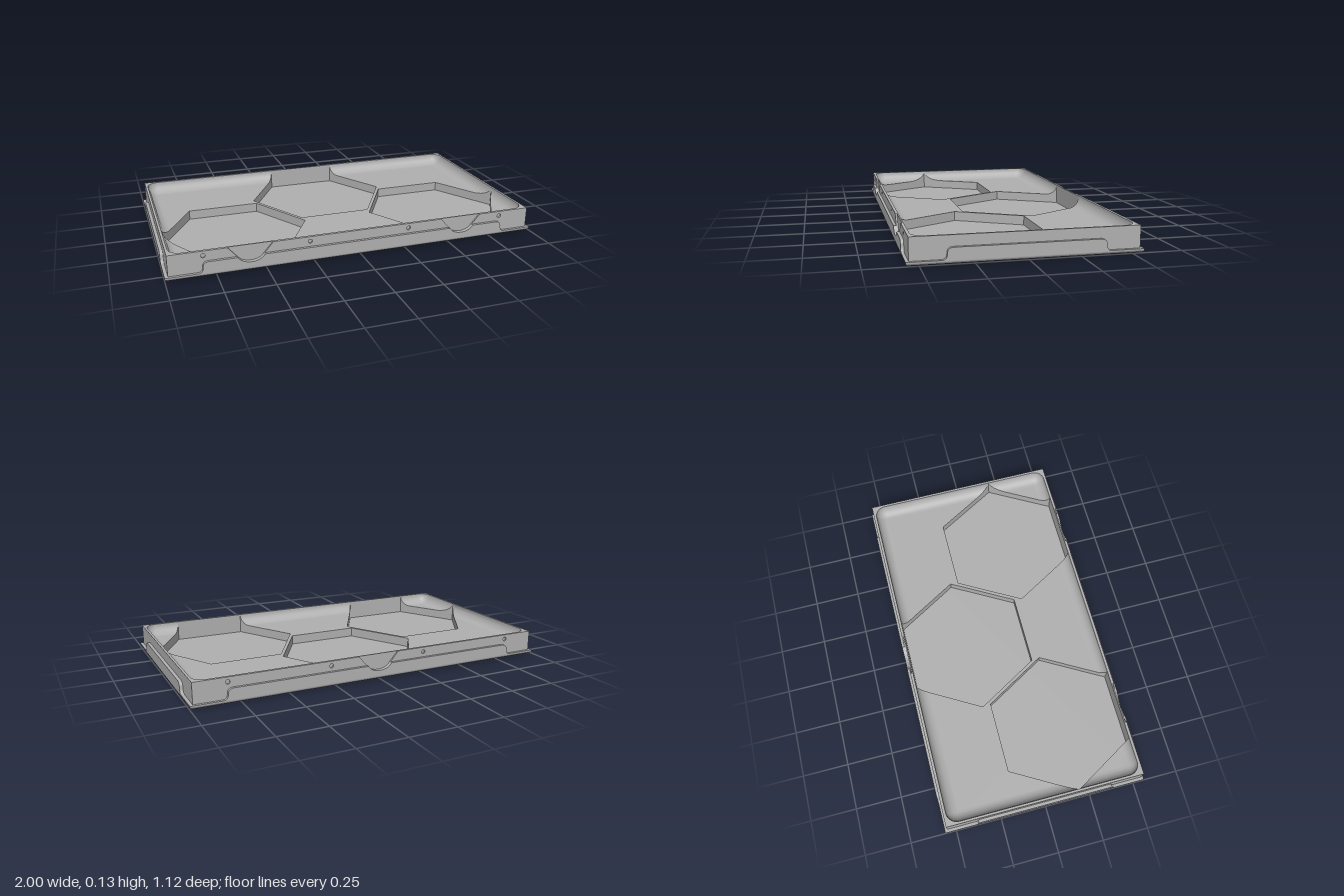
import * as THREE from 'three';
import { toCreasedNormals } from 'three/addons/utils/BufferGeometryUtils.js';

const grey = new THREE.MeshStandardMaterial({ color: 0xb0b0b0, side: THREE.DoubleSide });
grey.name = 'grey plastic';

const W = 0.983, D = 0.545;           // outer wall half sizes
const IX = 0.97, IZ = 0.53;           // inner cavity half sizes
const H = 0.13, LIP = 0.02, BAND = 0.077, FLOOR = 0.07, R = 0.06;
const RECESS = 0.537;                 // depth reached by the finger recesses

function add(parent, name, geo) {
  const mesh = new THREE.Mesh(toCreasedNormals(geo, 0.6), grey);
  mesh.name = name;
  parent.add(mesh);
  return mesh;
}

const extrude = (shape, depth) =>
  new THREE.ExtrudeGeometry(shape, { depth, bevelEnabled: false, curveSegments: 12 });

// horizontal slab from a plan outline of [x, z] points
function slab(shape, y0, y1) {
  return extrude(shape, y1 - y0).rotateX(-Math.PI / 2).translate(0, y0, 0);
}
const plan = pts => new THREE.Shape(pts.map(([x, z]) => new THREE.Vector2(x, -z)));

// finger recess traced left to right along a top edge at height y
function recess(shape, cx, y) {
  const w = 0.06 + 0.055 * (y - 0.067) / 0.063;
  shape.lineTo(cx - w, y);
  shape.lineTo(cx - 0.06, 0.067);
  shape.bezierCurveTo(cx - 0.035, 0.038, cx + 0.035, 0.038, cx + 0.06, 0.067);
  shape.lineTo(cx + w, y);
}

// raised band with S-shaped ends
function bandShape(half, recesses) {
  const s = new THREE.Shape(), m = (LIP + BAND) / 2;
  s.moveTo(-half, LIP);
  s.quadraticCurveTo(-half + 0.025, LIP, -half + 0.025, m);
  s.quadraticCurveTo(-half + 0.025, BAND, -half + 0.055, BAND);
  recesses.forEach(cx => recess(s, cx, BAND));
  s.lineTo(half - 0.055, BAND);
  s.quadraticCurveTo(half - 0.025, BAND, half - 0.025, m);
  s.quadraticCurveTo(half - 0.025, LIP, half, LIP);
  return s;
}

// outer skin of a long wall with finger recesses and round holes
function skinShape(recesses) {
  const s = new THREE.Shape();
  s.moveTo(-W, LIP);
  s.lineTo(-W, H);
  recesses.forEach(cx => recess(s, cx, H));
  s.lineTo(W, H);
  s.lineTo(W, LIP);
  for (const x of [-0.81, -0.27, 0.27, 0.81]) {
    const hole = new THREE.Path();
    hole.absarc(x, 0.105, 0.011, 0, Math.PI * 2, true);
    s.holes.push(hole);
  }
  return s;
}

// concave fillet: each section runs from floor point Q up to wall point P
function fillet(sections) {
  const N = 10, pos = [], idx = [];
  for (const [P, Q] of sections)
    for (let i = 0; i <= N; i++) {
      const a = i / N * Math.PI / 2, t = Math.sin(a);
      pos.push(Q[0] + (P[0] - Q[0]) * t, FLOOR + R * (1 - Math.cos(a)), Q[1] + (P[1] - Q[1]) * t);
    }
  for (let s = 0; s < sections.length - 1; s++)
    for (let i = 0; i < N; i++) {
      const a = s * (N + 1) + i, b = a + N + 1;
      idx.push(a, a + 1, b, a + 1, b + 1, b);
    }
  // closed ends where a pocket cuts the fillet
  for (const s of [0, sections.length - 1]) {
    const P = sections[s][0], c = pos.length / 3;
    pos.push(P[0], FLOOR, P[1]);
    for (let i = 0; i < N; i++) idx.push(c, s * (N + 1) + i, s * (N + 1) + i + 1);
  }
  // keep the visible side facing into the tray
  const g = new THREE.BufferGeometry();
  g.setAttribute('position', new THREE.Float32BufferAttribute(pos, 3));
  g.setIndex(idx);
  return g.toNonIndexed();
}

// rounded corner sections between two angles
function corner(cx, cz, a0, a1) {
  return Array.from({ length: 9 }, (_, i) => {
    const a = a0 + (a1 - a0) * i / 8;
    return [[cx + R * Math.cos(a), cz + R * Math.sin(a)], [cx, cz]];
  });
}

export function createModel() {
  const model = new THREE.Group();
  model.name = 'tileTray';

  // base plate with rounded lower edge
  const r = 0.017, base = new THREE.BoxGeometry(2, LIP, 1.12, 1, 8, 1).translate(0, LIP / 2, 0);
  const p = base.attributes.position;
  for (let i = 0; i < p.count; i++) {
    const y = p.getY(i);
    const inset = y < r ? r - Math.sqrt(Math.max(0, r * r - (r - y) ** 2)) : 0;
    p.setX(i, p.getX(i) - Math.sign(p.getX(i)) * inset);
    p.setZ(i, p.getZ(i) - Math.sign(p.getZ(i)) * inset);
  }
  add(model, 'basePlate', base);

  // wall frame with a round-cornered cavity
  const frame = plan([[-W, -RECESS], [W, -RECESS], [W, RECESS], [-W, RECESS]]);
  const cavity = new THREE.Path(), q = Math.PI / 2;
  [[1, 1], [-1, 1], [-1, -1], [1, -1]].forEach(([sx, sy], i) =>
    cavity.absarc(sx * (IX - R), sy * (IZ - R), R, i * q, (i + 1) * q, false));
  cavity.closePath();
  frame.holes.push(cavity);
  add(model, 'wallFrame', slab(frame, LIP, H));

  // long walls: skin and band, front and back
  for (const [side, recesses, turn] of [['front', [-0.575, 0.575], 0], ['back', [0], Math.PI]]) {
    const wall = new THREE.Group();
    wall.name = side + 'Wall';
    wall.rotation.y = turn;
    add(wall, side + 'Skin', extrude(skinShape(recesses), D - RECESS).translate(0, 0, RECESS));
    add(wall, side + 'Band', extrude(bandShape(0.84, recesses), 0.56 - D).translate(0, 0, D));
    model.add(wall);
  }

  // short side bands
  for (const s of [-1, 1])
    add(model, s > 0 ? 'leftBand' : 'rightBand',
      extrude(bandShape(0.4, []), 1 - W).translate(0, 0, W)).rotation.y = s * Math.PI / 2;

  // raised floor around the three hexagonal pockets
  const half = [[IX, 0.19], [0.775, -0.15], [0.385, -0.15], [0.19, 0.19], [0.385, IZ]];
  const backHalf = [[IX, -IZ], [0.195, -IZ], [0.39, -0.195], [0.195, 0.145]];
  const flip = pts => pts.map(([x, z]) => [-x, z]);
  add(model, 'raisedFloor', slab(plan([
    ...flip(half), ...half.slice().reverse(), ...backHalf, ...flip(backHalf).reverse(),
  ]), LIP, FLOOR));

  // corner floors and fillets, mirrored; k is the slant of the hexagon edges
  const k = 1 / Math.sqrt(3), cx = IX - R, cz = IZ - R;
  for (const s of [-1, 1]) {
    const side = s > 0 ? 'left' : 'right';
    const mirror = secs => secs.map(sec => sec.map(([x, z]) => [s * x, z]));
    add(model, side + 'CornerFloor',
      slab(plan([[s * IX, 0.19], [s * 0.775, IZ], [s * IX, IZ]]), LIP, FLOOR));
    add(model, side + 'BackFillet', fillet(mirror([
      [[0.195, -IZ], [0.195 + k * R, -cz]],
      ...corner(cx, -cz, -q, 0),
      [[IX, 0.19], [cx, 0.19 - R / k]],
    ])));
    add(model, side + 'FrontFillet', fillet(mirror([
      [[IX, 0.19], [cx, 0.19 + R / k]],
      ...corner(cx, cz, 0, q),
      [[0.775, IZ], [0.775 + k * R, cz]],
    ])));
  }
  add(model, 'middleFillet', fillet([
    [[-0.385, IZ], [-0.385 + k * R, cz]],
    [[0.385, IZ], [0.385 - k * R, cz]],
  ]));

  return model;
}
